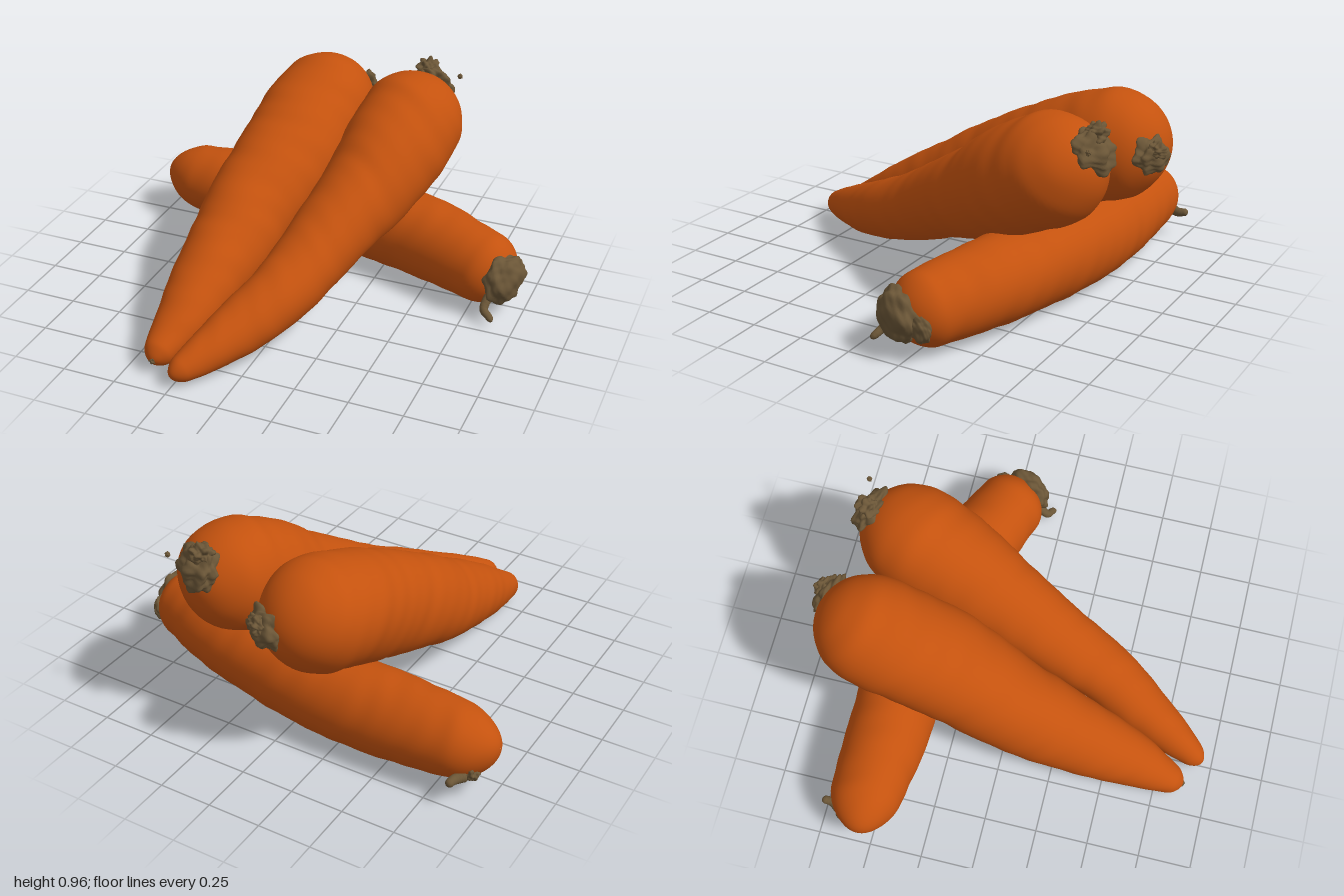
import * as THREE from 'three';
import { mergeVertices } from 'three/addons/utils/BufferGeometryUtils.js';

const orange = new THREE.MeshStandardMaterial({ color: 0xc4520e });
orange.name = 'carrot orange';
const brown = new THREE.MeshStandardMaterial({ color: 0x6b5637 });
brown.name = 'stem brown';

// Tapered root swept along rows of [x, y, z, radius], crown first; both ends are rounded off.
function rootGeometry(rows, crownCap, tipCap, seed) {
  const RINGS = 110, SIDES = 48;
  const path = new THREE.CatmullRomCurve3(rows.map(r => new THREE.Vector3(r[0], r[1], r[2])), false, 'catmullrom');
  const radii = new THREE.CatmullRomCurve3(rows.map(r => new THREE.Vector3(r[3], 0, 0)), false, 'catmullrom');
  const round = (u, len) => (u < len ? Math.sqrt(Math.max(0, 1 - (1 - u / len) ** 2)) : 1);
  const pos = [], index = [], up = new THREE.Vector3(0, 1, 0);
  for (let i = 0; i <= RINGS; i++) {
    const u = (1 - Math.cos((Math.PI * i) / RINGS)) / 2;
    const t = path.getUtoTmapping(u);
    const p = path.getPoint(t), tan = path.getTangent(t);
    const side = new THREE.Vector3().crossVectors(tan, up).normalize();
    const over = new THREE.Vector3().crossVectors(tan, side);
    const base = radii.getPoint(t).x * round(u, crownCap) * round(1 - u, tipCap) + 0.0004;
    for (let j = 0; j < SIDES; j++) {
      const a = (j / SIDES) * Math.PI * 2;
      // shallow growth rings and a slightly uneven outline
      const r = base * (1 + 0.009 * Math.sin(u * 85 + 2 * Math.sin(2 * a + seed)) * Math.sin(a + u * 17 + seed)
        + 0.012 * Math.sin(3 * a + u * 9 + seed) + 0.006 * Math.sin(u * 43 + a * 2));
      const v = p.clone().addScaledVector(side, r * Math.cos(a)).addScaledVector(over, r * Math.sin(a));
      pos.push(v.x, Math.max(v.y, 0), v.z);
      if (i < RINGS) {
        const k = i * SIDES + j, n = i * SIDES + ((j + 1) % SIDES);
        index.push(k, n, k + SIDES, n, n + SIDES, k + SIDES);
      }
    }
  }
  const g = new THREE.BufferGeometry();
  g.setAttribute('position', new THREE.Float32BufferAttribute(pos, 3));
  g.setIndex(index);
  g.computeVertexNormals();
  return g;
}

// Lumpy, ragged blob
function lumpGeometry(seed, rough) {
  let g = new THREE.IcosahedronGeometry(1, 10);
  g.deleteAttribute('normal');
  g.deleteAttribute('uv');
  g = mergeVertices(g, 1e-4);
  const p = g.attributes.position, v = new THREE.Vector3();
  for (let i = 0; i < p.count; i++) {
    v.fromBufferAttribute(p, i);
    const n = Math.sin(5 * v.x + seed) * Math.sin(6 * v.y + 2 * seed) + Math.sin(7 * v.z + 3 * v.x + seed)
      * Math.cos(5 * v.y - seed) + 0.5 * Math.sin(12 * v.x + 9 * v.y + seed) * Math.sin(11 * v.z);
    v.multiplyScalar(1 + rough * n);
    p.setXYZ(i, v.x, v.y, v.z);
  }
  g.computeVertexNormals();
  return g;
}

function add(group, name, geometry, material) {
  const m = new THREE.Mesh(geometry, material);
  m.name = name;
  group.add(m);
  return m;
}

// Blob placed at a point, its local z turned along dir
function lump(group, name, at, size, dir, seed, rough = 0.13) {
  const m = add(group, name, lumpGeometry(seed, rough), brown);
  m.position.set(...at);
  m.scale.set(...size);
  m.quaternion.setFromUnitVectors(new THREE.Vector3(0, 0, 1), new THREE.Vector3(...dir).normalize());
}

function strand(group, name, points, radius) {
  const rows = points.map((p, i) => [...p, radius * (1 - 0.35 * i / (points.length - 1))]);
  add(group, name, rootGeometry(rows, 0.08, 0.15, 1), brown);
}

export function createModel() {
  const model = new THREE.Group();
  model.name = 'carrots';

  // Leaning carrot on the -x side
  const a = new THREE.Group();
  a.name = 'rightLeaningCarrot';
  add(a, 'root', rootGeometry([
    [-0.14, 0.745, -0.91, 0.24], [-0.19, 0.67, -0.6, 0.255], [-0.22, 0.55, -0.3, 0.25], [-0.28, 0.42, 0, 0.22],
    [-0.3, 0.32, 0.2, 0.2], [-0.32, 0.24, 0.4, 0.17], [-0.335, 0.155, 0.6, 0.135], [-0.365, 0.085, 0.8, 0.078],
    [-0.375, 0.06, 0.88, 0.05]], 0.13, 0.03, 1), orange);
  lump(a, 'stem', [-0.07, 0.71, -0.88], [0.085, 0.1, 0.055], [0.2, 0.3, -0.9], 2);
  lump(a, 'stemTuft', [-0.05, 0.74, -0.92], [0.035, 0.045, 0.03], [0.2, 0.4, -0.9], 5, 0.18);
  lump(a, 'tip', [-0.372, 0.065, 0.872], [0.016, 0.016, 0.016], [0, 0, 1], 3);
  model.add(a);

  // Leaning carrot on the +x side
  const b = new THREE.Group();
  b.name = 'leftLeaningCarrot';
  add(b, 'root', rootGeometry([
    [0.35, 0.815, -0.81, 0.235], [0.3, 0.71, -0.6, 0.25], [0.26, 0.61, -0.4, 0.245], [0.21, 0.5, -0.2, 0.215],
    [0.15, 0.41, 0, 0.185], [0.09, 0.31, 0.2, 0.165], [0.03, 0.23, 0.4, 0.147], [-0.07, 0.155, 0.6, 0.127],
    [-0.17, 0.1, 0.8, 0.088], [-0.25, 0.06, 0.95, 0.045]], 0.13, 0.03, 4), orange);
  lump(b, 'stem', [0.33, 0.83, -0.79], [0.095, 0.105, 0.06], [0.2, 0.45, -0.85], 7);
  lump(b, 'stemTuft', [0.31, 0.9, -0.79], [0.05, 0.045, 0.05], [0.1, 0.6, -0.8], 9, 0.18);
  lump(b, 'crumb', [0.46, 0.87, -0.83], [0.011, 0.012, 0.011], [0, 0, 1], 1);
  model.add(b);

  // Carrot lying across underneath
  const c = new THREE.Group();
  c.name = 'lyingCarrot';
  add(c, 'root', rootGeometry([
    [0.93, 0.175, -0.205, 0.16], [0.75, 0.185, -0.28, 0.175], [0.5, 0.2, -0.38, 0.195], [0.25, 0.203, -0.45, 0.2],
    [0, 0.202, -0.505, 0.2], [-0.25, 0.195, -0.53, 0.198], [-0.5, 0.192, -0.535, 0.193], [-0.8, 0.2, -0.55, 0.168],
    [-1, 0.225, -0.545, 0.13]], 0.07, 0.09, 6), orange);
  lump(c, 'stem', [0.905, 0.18, -0.195], [0.12, 0.12, 0.075], [0.92, 0, 0.4], 4, 0.08);
  lump(c, 'stemLobe', [0.94, 0.155, -0.32], [0.03, 0.06, 0.05], [0, 0, -1], 6, 0.08);
  strand(c, 'stemCurl', [[0.86, 0.12, -0.13], [0.85, 0.07, -0.08], [0.88, 0.045, -0.06], [0.9, 0.03, -0.045]], 0.022);
  lump(c, 'rootEnd', [-0.91, 0.125, -0.635], [0.045, 0.035, 0.035], [-0.6, -0.5, -0.6], 8, 0.18);
  strand(c, 'rootWisp', [[-0.9, 0.12, -0.66], [-0.87, 0.12, -0.71], [-0.87, 0.13, -0.76]], 0.026);
  model.add(c);

  return model;
}
